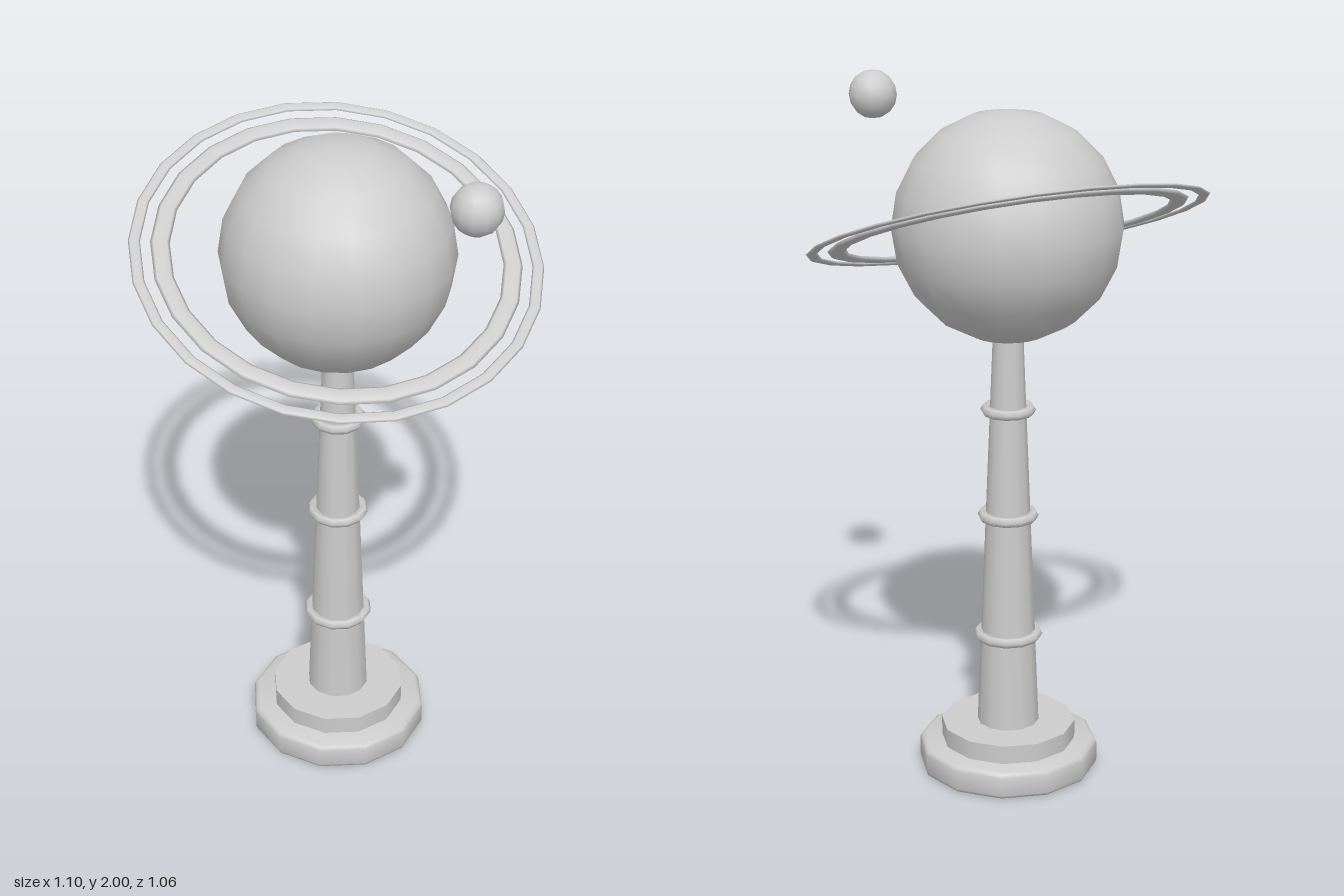
import * as THREE from 'three';
import { toCreasedNormals } from 'three/addons/utils/BufferGeometryUtils.js';

export function createModel() {
  const model = new THREE.Group();
  const grey = new THREE.MeshStandardMaterial({ color: 0xcccccc });
  grey.name = 'light grey';

  const add = (name, geometry, x = 0, y = 0, z = 0, parent = model) => {
    const mesh = new THREE.Mesh(geometry, grey);
    mesh.name = name;
    mesh.position.set(x, y, z);
    parent.add(mesh);
    return mesh;
  };

  // Round foot with softened rims
  const profile = [[0, 0], [0.252, 0], [0.259, 0.004], [0.262, 0.012], [0.262, 0.066],
    [0.258, 0.076], [0.248, 0.081], [0, 0.081]].map(([r, y]) => new THREE.Vector2(r, y));
  add('foot', toCreasedNormals(new THREE.LatheGeometry(profile, 12), 0.9));

  // Upper step and tapering column
  add('step', new THREE.CylinderGeometry(0.196, 0.196, 0.065, 12), 0, 0.1035, 0);
  add('column', new THREE.CylinderGeometry(0.042, 0.09, 1.2, 12), 0, 0.73, 0);

  // Collars around the column
  for (const [y, r] of [[0.41, 0.085], [0.775, 0.073], [1.09, 0.064]]) {
    add('collar', new THREE.TorusGeometry(r, 0.015, 6, 12).rotateX(Math.PI / 2), 0, y, 0);
  }

  // Globe
  add('globe', new THREE.SphereGeometry(0.322, 18, 10).rotateY(Math.PI / 2), 0, 1.615, 0);

  // Two flattened, tilted hoops around the globe
  const hoops = new THREE.Group();
  hoops.name = 'hoops';
  hoops.position.y = 1.612;
  hoops.rotation.set(0.326, 0, -0.188, 'ZXY');
  model.add(hoops);
  for (const [name, r, tube] of [['innerHoop', 0.475, 0.026], ['outerHoop', 0.544, 0.016]]) {
    const ring = new THREE.TorusGeometry(r, tube, 8, 24).scale(1, 1, 0.3).rotateX(Math.PI / 2);
    add(name, ring, 0, 0, 0, hoops);
  }

  // Small moon beside the globe
  add('moon', new THREE.SphereGeometry(0.069, 12, 8).rotateY(Math.PI / 2), 0.406, 1.931, 0.272);

  return model;
}
